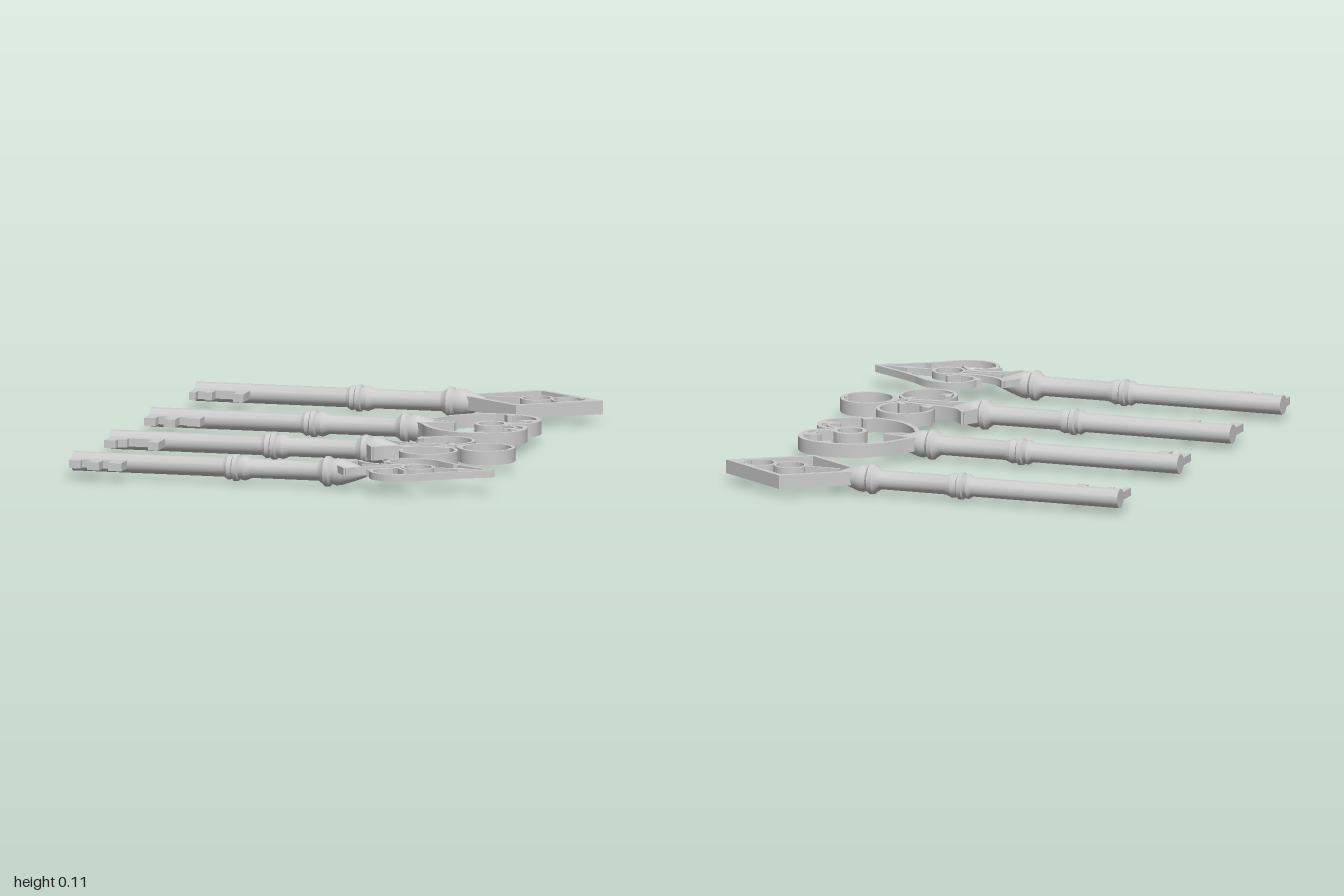
import * as THREE from 'three';
import { toCreasedNormals } from 'three/addons/utils/BufferGeometryUtils.js';

const mat = new THREE.MeshStandardMaterial({ color: 0xcccccc });
const AXIS_Y = 0.054; // height of the shaft axis
const S = 0.01;       // plan coordinates are in hundredths

const V = ([x, z]) => new THREE.Vector2(x * S, z * S);
const flip = (pts) => pts.map(([x, z]) => [x, -z]);

// extrude a plan shape (x, z) between two heights
function slab(name, shape, [y0, y1]) {
  const geo = new THREE.ExtrudeGeometry(shape, { depth: y1 - y0, bevelEnabled: false, curveSegments: 20 });
  geo.rotateX(Math.PI / 2).translate(0, y1, 0);
  const mesh = new THREE.Mesh(toCreasedNormals(geo, 0.6), mat);
  mesh.name = name;
  return mesh;
}

const plate = (name, pts, span) => slab(name, new THREE.Shape(pts.map(V)), span);

// flat strip of constant width following a smooth path
function band(name, pts, width, span) {
  const curve = new THREE.SplineCurve(pts.map(V));
  const n = pts.length > 2 ? pts.length * 6 : 1;
  const a = [], b = [];
  for (let i = 0; i <= n; i++) {
    const p = curve.getPoint(i / n), t = curve.getTangent(i / n);
    const off = new THREE.Vector2(-t.y, t.x).multiplyScalar(width * S / 2);
    a.push(p.clone().add(off));
    b.unshift(p.clone().sub(off));
  }
  return slab(name, new THREE.Shape([...a, ...b]), span);
}

function ring(name, cx, r, width, span) {
  const shape = new THREE.Shape().absarc(cx * S, 0, r * S, 0, Math.PI * 2);
  shape.holes.push(new THREE.Path().absarc(cx * S, 0, (r - width) * S, 0, Math.PI * 2));
  return slab(name, shape, span);
}

const arc = (cx, cz, r, from, to, n = 14) => Array.from({ length: n + 1 }, (_, i) => {
  const t = THREE.MathUtils.degToRad(from + (to - from) * i / n);
  return [cx + r * Math.cos(t), cz + r * Math.sin(t)];
});

// make a piece on both sides of the axis
const pair = (make, name, pts, ...rest) => [make(name, pts, ...rest), make(name, flip(pts), ...rest)];

// turned shaft with collars and tapered socket
function shaft() {
  const profile = [[-76, 0], [-76, 3.4], [-21.5, 3.4], [-20, 4.4], [-18.5, 4], [-18, 4.7], [-16.5, 4.7], [-16, 4],
    [-14, 4.4], [-11.5, 3.4], [12.5, 3.4], [14, 4.4], [15, 5.3], [16.5, 5.3], [17.5, 4.3], [19, 4.8], [21, 4.5],
    [26, 2.8], [31, 0.9], [31, 0]];
  const geo = new THREE.LatheGeometry(profile.map(([x, r]) => new THREE.Vector2(r * S, x * S)), 24);
  geo.rotateZ(-Math.PI / 2).translate(0, AXIS_Y, 0);
  const mesh = new THREE.Mesh(toCreasedNormals(geo, 0.6), mat);
  mesh.name = 'shaft';
  return mesh;
}

// bit: steps of [end x, depth] cut along the lower edge
function bit(steps) {
  const pts = [[-75.6, 1]];
  let x = -75.6;
  for (const [end, depth] of steps) {
    pts.push([x, depth], [end, depth]);
    x = end;
  }
  pts.push([x, 1]);
  return plate('bit', pts, [0.04, 0.068]);
}

const FULL = [0.033, 0.081], THIN = [0.058, 0.083], THICK = [0.022, 0.09];

function diamondBow() {
  const rhombus = (k) => [[44 + 26.5 * k, 0], [44, 18 * k], [44 - 26.5 * k, 0], [44, -18 * k]].map(V);
  const frame = new THREE.Shape(rhombus(1));
  frame.holes.push(new THREE.Path(rhombus(0.88)));
  return [
    slab('diamondFrame', frame, FULL),
    band('stem', [[28, 0], [41.3, 0]], 1, FULL),
    ring('innerRing', 46.6, 5.8, 1, FULL),
    band('openRing', arc(57.7, 0, 5.2, 30, 330), 0.9, FULL),
    plate('tipLeaf', [[62, -2.6], [65, -1.6], [69, 0], [65, 1.6], [62, 2.6], [64, 0]], FULL),
  ];
}

function heartBow() {
  return [
    ...pair(band, 'heartLobe', [[21, -2.5], [24, -6.5], [27.5, -12.5], [33, -18], [40, -21.2], [48, -21.6],
      [56, -18.8], [60, -13.5], [60.7, -8], [59, -3.5], [55.5, -1.5], [51.5, -1.6]], 1.7, FULL),
    ...pair(band, 'scroll', [[51, -2.5], [55, -4], [57, -6.5], [56.5, -9], [53.8, -9.6]], 1.3, FULL),
    ...pair(plate, 'scrollLeaf', [[60.3, -11.5], [57, -11.5], [54, -9.2], [57.5, -8.6], [60.3, -8]], FULL),
    ...pair(plate, 'cusp', [[45.5, -21], [50.5, -21], [48.8, -18.6], [47.3, -18.2]], FULL),
    ...pair(band, 'socketProng', [[22, -4], [27, -2.2], [33.5, -0.6]], 1.4, FULL),
    ring('innerRing', 46.6, 6, 1.6, FULL),
  ];
}

// flared fin beside the socket, sweeping inward along the axis
const fins = (tip, root, sweep, span) => [
  ...pair(band, 'finEdge', [root, tip], 1, span),
  ...pair(band, 'finSweep', [tip, ...sweep], 1.5, span),
];

function cloverBow() {
  return [
    ring('endRing', 59.3, 9.8, 1.3, FULL),
    ring('hubRing', 46.6, 2.8, 0.9, FULL),
    band('stem', [[28, 0], [44, 0]], 0.8, FULL),
    ...pair(band, 'sideRing', arc(41.3, -11.4, 9.6, 60, -215, 20), 1.3, FULL),
    ...pair(plate, 'curlLeaf', [[31.6, -8.5], [32.2, -12.5], [34.5, -12], [36.8, -9.6], [34, -9], [33, -6]], THICK),
    ...pair(plate, 'cusp', [[43, -6], [45.5, -6], [47.8, -3.4], [46.6, -2], [45, -3.4]], FULL),
    ...pair(plate, 'hubLeaf', [[48.2, -1.8], [50.8, -5], [51.8, -3.6], [49.2, -0.6]], FULL),
    plate('endCusp', [[66.6, 0], [68.4, -1.5], [68.4, 1.5]], FULL),
    ...fins([20.6, -9.6], [16.8, -3], [[24, -6], [30, -3.9], [38, -3.4], [45.5, -2.3]], FULL),
  ];
}

function spadeBow() {
  return [
    ...pair(band, 'spadeLobe', [[74.8, -0.2], [64, -6.6], [56, -12], [50, -16.8], [43, -18.8], [37, -16.4],
      [34.4, -11.5], [36.2, -7.2], [41, -6]], 1.3, THIN),
    ...pair(plate, 'lobeHook', [[32.2, -10.4], [34.8, -11.5], [36, -7], [33.6, -8]], THIN),
    ...pair(band, 'scroll', [[38, -3], [42, -4], [43.8, -6.2], [45.8, -8.6]], 1.3, THIN),
    ...pair(plate, 'cusp', [[58, -10.6], [61, -8.6], [58.6, -8.2]], THIN),
    ring('innerRing', 48, 6, 1.2, THIN),
    band('stem', [[28, 0], [42.4, 0]], 0.9, THIN),
    plate('tipSpear', [[53.5, -0.6], [60, -0.6], [63, -1.8], [67, -0.6], [75.6, 0], [67, 0.6], [63, 1.8],
      [60, 0.6], [53.5, 0.6]], THIN),
    ...fins([24.3, -9.4], [20, -3], [[26.6, -6.4], [30.7, -4.2], [36, -3.1], [42.5, -2.8]], THIN),
  ];
}

export function createModel() {
  const model = new THREE.Group();
  model.name = 'keySet';
  const keys = [
    ['diamondKey', -0.817, diamondBow, [[-73.3, 11.6], [-70, 8.4], [-67.7, 10.6], [-59.8, 5.8], [-56, 11.6]]],
    ['heartKey', -0.22, heartBow, [[-71.5, 11.6], [-68.3, 7], [-64, 12.7], [-60.8, 7], [-56, 9]]],
    ['cloverKey', 0.303, cloverBow, [[-71.5, 11.6], [-68.3, 8.5], [-59.8, 5.8], [-56, 11.6]]],
    ['spadeKey', 0.805, spadeBow, [[-71.5, 8], [-68.3, 5.5], [-64, 10.6], [-60.8, 5.5], [-56, 10.6]]],
  ];
  for (const [name, z, bow, steps] of keys) {
    const key = new THREE.Group();
    key.name = name;
    key.position.z = z;
    key.add(shaft(), bit(steps), ...bow());
    model.add(key);
  }
  return model;
}
